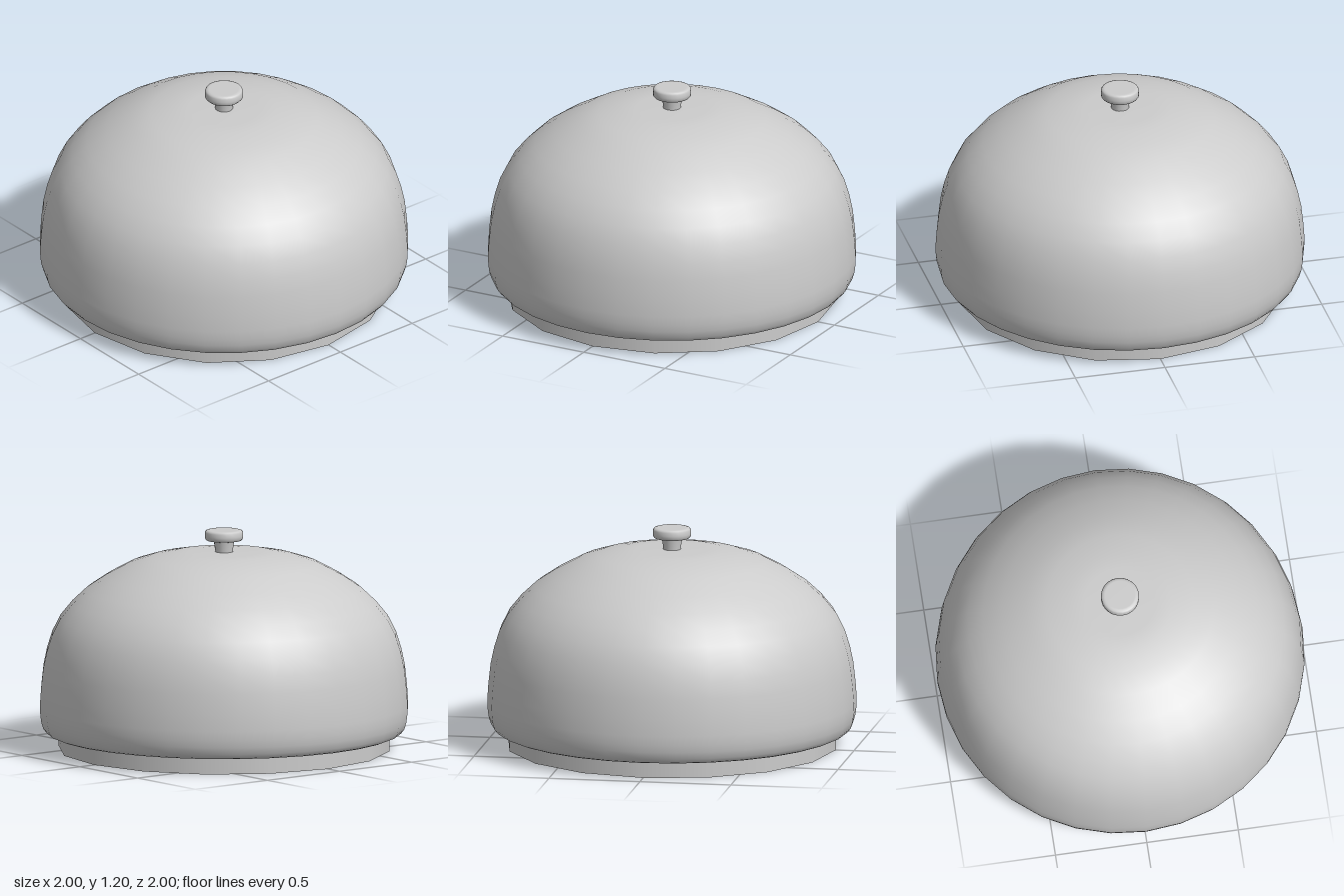
import * as THREE from 'three';

const material = new THREE.MeshStandardMaterial({ color: 0xcccccc });

// Revolves a list of [radius, height] points, running from bottom to top
function turned(name, profile, segments) {
  const points = profile.map(([r, y]) => new THREE.Vector2(r, y));
  const mesh = new THREE.Mesh(new THREE.LatheGeometry(points, segments), material);
  mesh.name = name;
  return mesh;
}

export function createModel() {
  const model = new THREE.Group();
  model.name = 'deskBell';

  // Short base drum with few sides
  const base = new THREE.Mesh(new THREE.CylinderGeometry(0.9, 0.9, 0.1, 16), material);
  base.name = 'base';
  base.position.y = 0.05;
  model.add(base);

  // Domed shell with a rolled lower lip and a closed underside
  model.add(turned('dome', [
    [0, 0.09], [0.92, 0.09], [0.945, 0.092], [0.965, 0.1], [0.982, 0.122],
    [0.993, 0.16], [0.998, 0.2], [1, 0.25], [0.994, 0.34], [0.982, 0.45], [0.963, 0.54],
    [0.935, 0.63], [0.89, 0.72], [0.825, 0.8], [0.745, 0.875], [0.64, 0.945],
    [0.51, 1.015], [0.4, 1.05], [0.28, 1.073], [0.19, 1.079], [0, 1.08],
  ], 32));

  // Push button: tapered stem and rounded cap
  const button = new THREE.Group();
  button.name = 'button';
  button.add(turned('stem', [[0.047, 1.06], [0.05, 1.1], [0.057, 1.145]], 16));
  button.add(turned('cap', [
    [0, 1.14], [0.08, 1.14], [0.095, 1.143], [0.103, 1.153], [0.104, 1.168],
    [0.103, 1.186], [0.098, 1.195], [0.088, 1.198], [0.08, 1.199], [0, 1.199],
  ], 24));
  model.add(button);

  return model;
}
